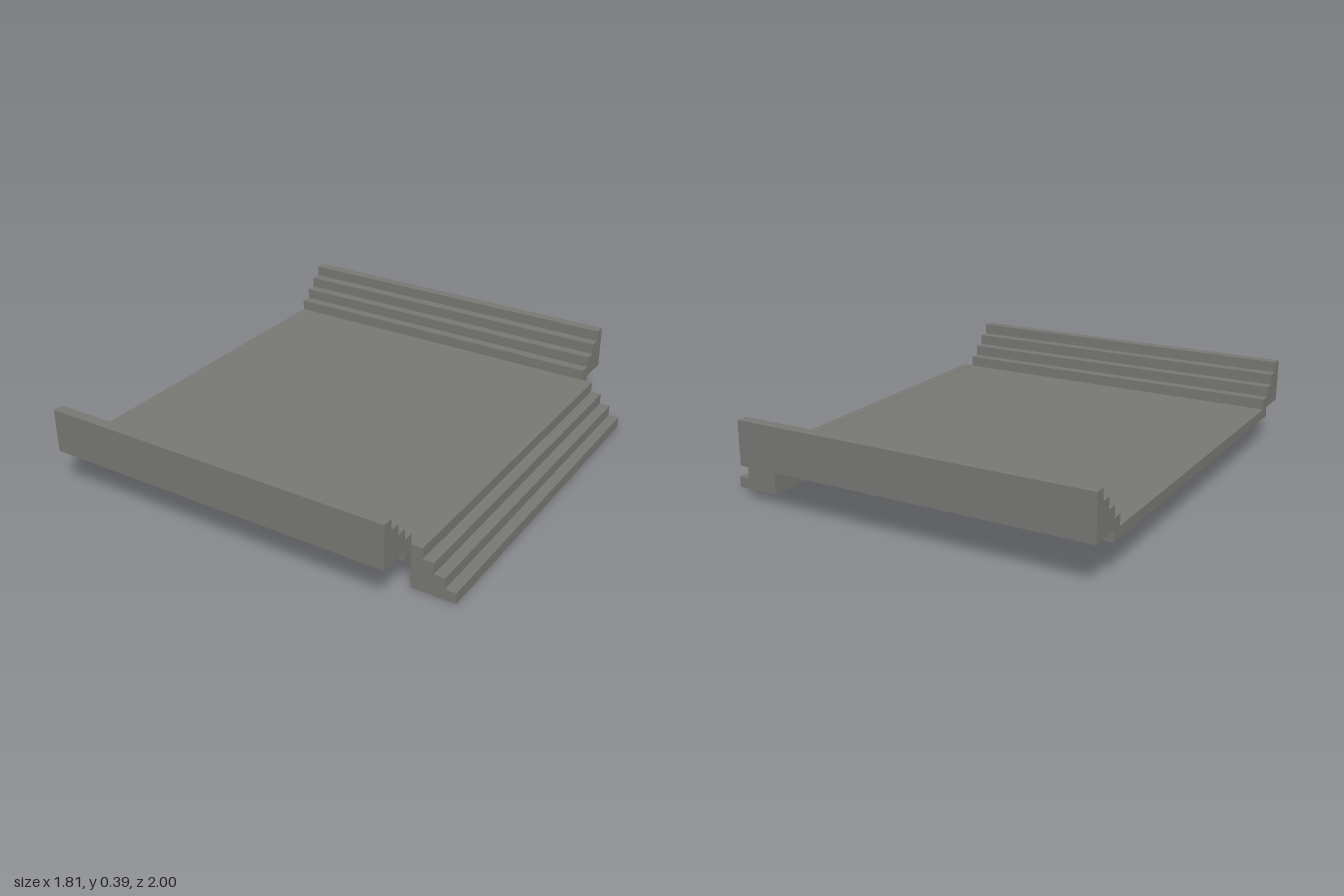
import * as THREE from 'three';

const STEP = 0.049; // rise of one step
const TREAD = 0.0488; // depth of one step

// Solid flight of four steps: rises from 0 along the local +x, extruded along local z, centred
function stairs(name, length, material) {
  const run = 4 * TREAD;
  const s = new THREE.Shape();
  s.moveTo(0, 0);
  for (let i = 0; i < 4; i++) {
    s.lineTo(i * TREAD, (i + 1) * STEP);
    s.lineTo((i + 1) * TREAD, (i + 1) * STEP);
  }
  s.lineTo(run, 0);
  s.closePath();
  const geo = new THREE.ExtrudeGeometry(s, { depth: length, bevelEnabled: false });
  geo.translate(0, 0, -length / 2);
  const mesh = new THREE.Mesh(geo, material);
  mesh.name = name;
  return mesh;
}

export function createModel() {
  const group = new THREE.Group();
  group.name = 'steppedPlatform';
  const stone = new THREE.MeshStandardMaterial({ color: 0x767673 });
  stone.name = 'grey stone';

  // Floor slab, reaching slightly under the side steps
  const slab = new THREE.Mesh(new THREE.BoxGeometry(1.61, 0.046, 1.71), stone);
  slab.name = 'floorSlab';
  slab.position.set(-0.1, 0.172, 0);
  group.add(slab);

  // Steps rising outward at the front and back
  for (const side of [1, -1]) {
    const flight = stairs(side > 0 ? 'frontSteps' : 'backSteps', 1.61, stone);
    flight.rotation.y = -side * Math.PI / 2;
    flight.position.set(-0.1, 0.195, side * 0.805);
    group.add(flight);
  }

  // Entry steps descending on the left side
  const entry = stairs('entrySteps', 1.61, stone);
  entry.rotation.y = Math.PI;
  entry.position.set(0.9, 0, 0);
  group.add(entry);

  return group;
}
